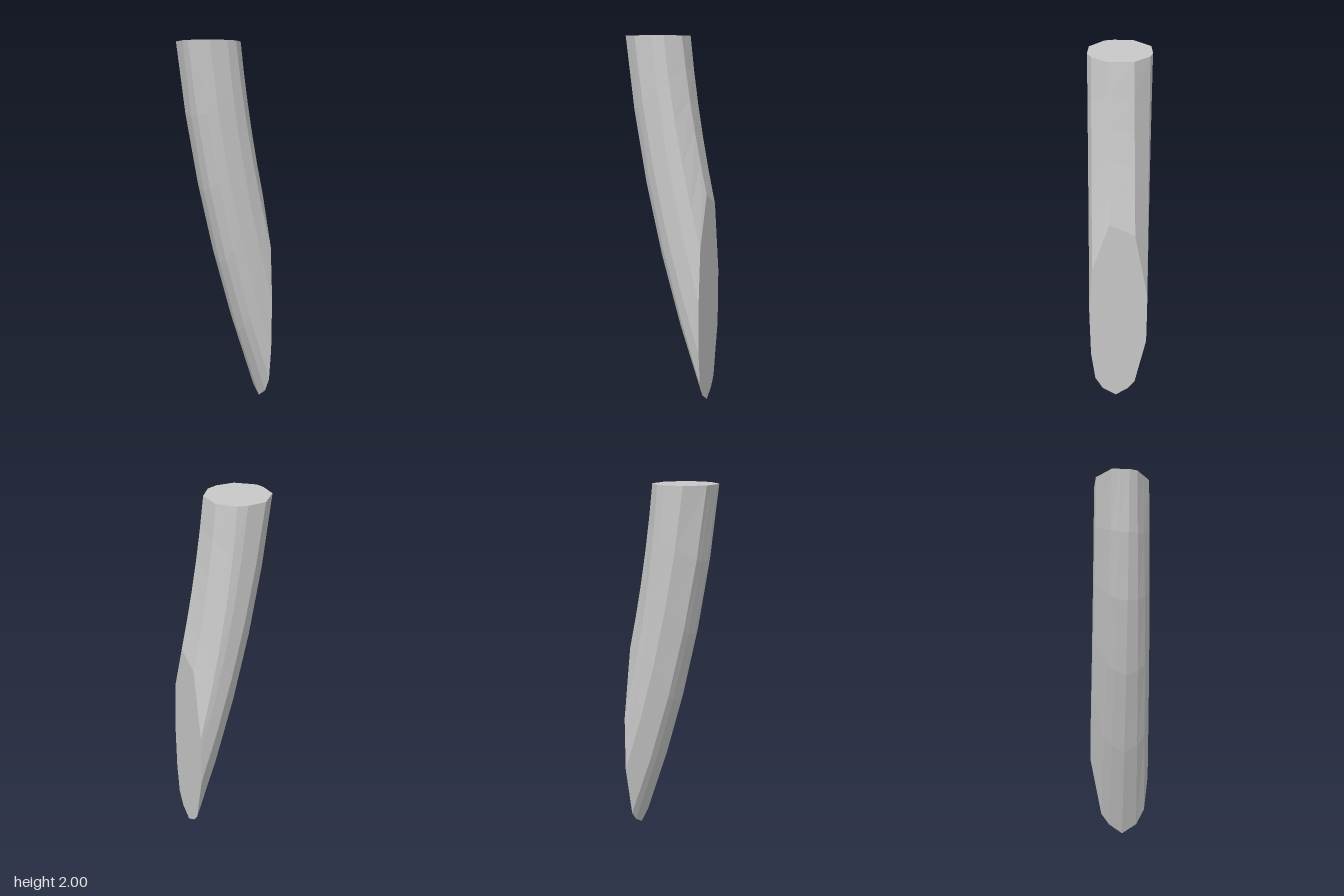
import * as THREE from 'three';

const CUT_X = 0.234; // plane of the flat slanting cut
const HEIGHT = 2;
const BEND = 0.068;

// Lengthwise edges: [top x, top z, end z on the cut, end y on the cut]
const EDGES = [
  [0.09, -0.076, -0.085, 1.10],
  [0.09, 0.053, 0.05, 1.17],
  [0.02, 0.135, 0.145, 0.89],
  [-0.04, 0.155, 0.165, 0.60],
  [-0.137, 0.147, 0.16, 0.31],
  [-0.18, 0.108, 0.138, 0.13],
  [-0.225, 0.067, 0.095, 0.05],
  [-0.235, 0.02, 0.02, 0],
  [-0.231, -0.035, -0.048, 0.045],
  [-0.227, -0.082, -0.09, 0.10],
  [-0.137, -0.168, -0.153, 0.40],
  [-0.035, -0.172, -0.155, 0.60],
  [0.015, -0.157, -0.155, 0.71],
];

// Point along a gently bowed edge, t = 0 at the top and 1 at the cut
function edgePoint([x, z, endZ, endY], t) {
  const length = HEIGHT - endY;
  return new THREE.Vector3(
    x + (CUT_X - x) * t - BEND * length * length * t * (1 - t),
    HEIGHT - length * t,
    z + (endZ - z) * t,
  );
}

function meshFromTriangles(name, points, material) {
  const geometry = new THREE.BufferGeometry().setFromPoints(points);
  geometry.computeVertexNormals();
  const mesh = new THREE.Mesh(geometry, material);
  mesh.name = name;
  return mesh;
}

// Flat cap fanned out from the middle of a ring
function capTriangles(ring, reverse) {
  const middle = new THREE.Vector3();
  ring.forEach((p) => middle.addScaledVector(p, 1 / ring.length));
  return ring.flatMap((p, i) => {
    const next = ring[(i + 1) % ring.length];
    return reverse ? [middle, next, p] : [middle, p, next];
  });
}

export function createModel() {
  const group = new THREE.Group();
  group.name = 'cutCurvedPost';
  const grey = new THREE.MeshStandardMaterial({ color: 0xc8c8c8 });
  grey.name = 'plain grey';
  grey.flatShading = true;

  // Rings run from the level top to the upright cut
  const rows = 5;
  const rings = [];
  for (let r = 0; r <= rows; r++) rings.push(EDGES.map((e) => edgePoint(e, r / rows)));

  // Faceted side wall
  const wall = [];
  for (let r = 0; r < rows; r++) {
    for (let i = 0; i < EDGES.length; i++) {
      const j = (i + 1) % EDGES.length;
      const [a, b, c, d] = [rings[r][i], rings[r][j], rings[r + 1][j], rings[r + 1][i]];
      wall.push(a, b, c, a, c, d);
    }
  }
  group.add(
    meshFromTriangles('sideWall', wall, grey),
    meshFromTriangles('topFace', capTriangles(rings[0], true), grey),
    meshFromTriangles('cutFace', capTriangles(rings[rows], false), grey),
  );
  return group;
}
